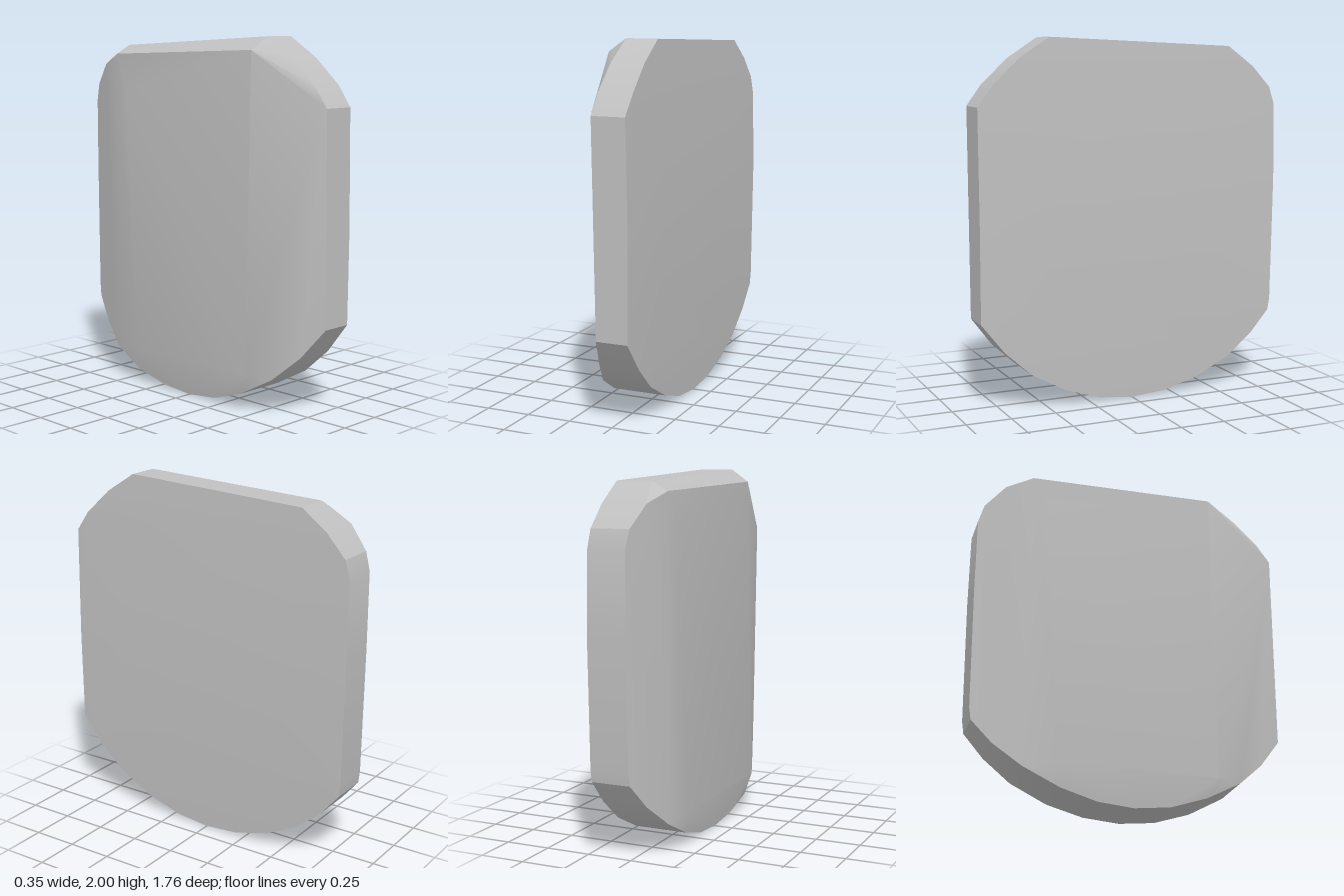
import * as THREE from 'three';
import { ConvexGeometry } from 'three/addons/geometries/ConvexGeometry.js';
import { toCreasedNormals } from 'three/addons/utils/BufferGeometryUtils.js';

// Side outline of the slab as [z, y], clockwise from the top front corner
const outline = [
  [0.48, 2.0], [-0.59, 1.95], [-0.74, 1.84], [-0.85, 1.72], [-0.88, 1.62], [-0.88, 1.2],
  [-0.87, 0.5], [-0.86, 0.43], [-0.75, 0.3], [-0.6, 0.175], [-0.4, 0.075], [-0.2, 0.02],
  [0, 0.003], [0.2, 0.025], [0.4, 0.09], [0.6, 0.2], [0.75, 0.335], [0.88, 0.5],
  [0.88, 1.0], [0.88, 1.64], [0.8, 1.75], [0.65, 1.89],
];

// Piecewise linear lookup in a list of [key, value]
function lookup(table, key) {
  for (let i = 1; i < table.length; i++) {
    const [k0, v0] = table[i - 1];
    const [k1, v1] = table[i];
    if (key <= k1) return THREE.MathUtils.mapLinear(key, k0, k1, v0, v1);
  }
  return table[table.length - 1][1];
}

// How far the bevelled face reaches towards -x, across the depth and up the height
const bevelByDepth = [[-0.88, -0.05], [-0.6, -0.145], [-0.4, -0.178], [0.46, -0.178], [0.88, -0.02]];
const bevelByHeight = [[0, -0.143], [0.2, -0.178], [2, -0.143]];
const bevelX = (z, y) => Math.max(lookup(bevelByDepth, z), lookup(bevelByHeight, y));

// The opposite face is nearly flat, with a very slight bulge
const flatX = (z, y) => 0.17 - 0.025 * (y - 1) ** 2 - (z > 0.8 ? 0.008 : 0);

export function createModel() {
  const model = new THREE.Group();
  const grey = new THREE.MeshStandardMaterial({ color: 0xc0c0c0 });
  grey.name = 'plain grey';

  const points = [];
  const add = (x, y, z) => points.push(new THREE.Vector3(x, y, z));

  // Rims of both faces
  for (const [z, y] of outline) {
    add(flatX(z, y), y, z);
    const upperFront = z > 0.4 && y > 1.6;
    const topBack = z < 0 && y > 1.9;
    add(upperFront ? -0.035 : topBack ? -0.05 : bevelX(z, y), y, z);
  }

  // Ridges of the bevelled face
  add(-0.143, 1.93, 0.46);
  add(-0.143, 1.9, -0.59);
  add(-0.155, 1.7, -0.5);
  add(-0.178, 0.2, 0.46);
  add(-0.178, 0.2, -0.4);

  // Crown of the flat face
  for (const y of [0.6, 1, 1.4]) for (const z of [-0.5, 0.5]) add(flatX(z, y) + 0.002, y, z);

  const slab = new THREE.Mesh(toCreasedNormals(new ConvexGeometry(points), 0.4), grey);
  slab.name = 'bevelledSlab';
  model.add(slab);
  return model;
}
